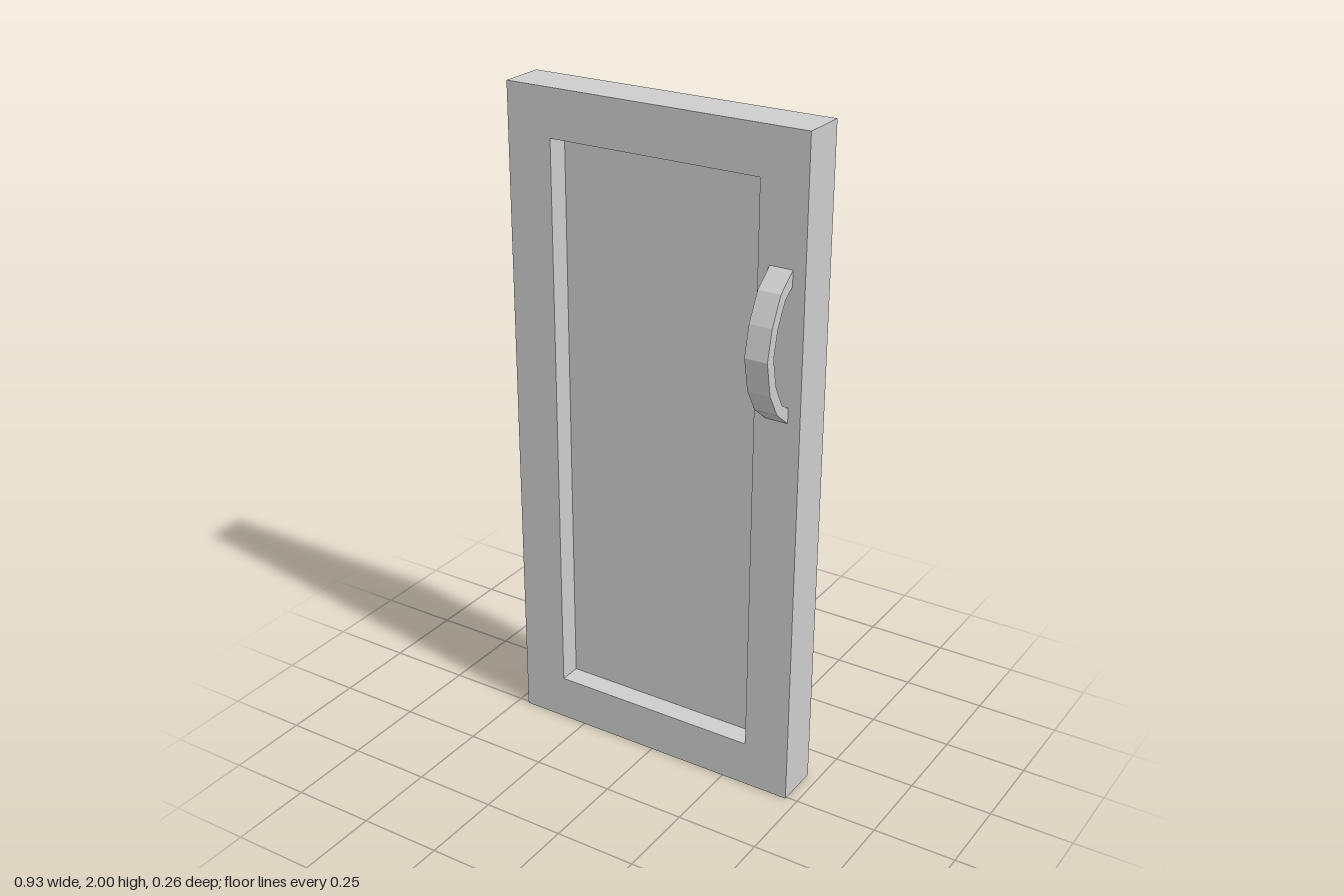
import * as THREE from 'three';

export function createModel() {
  const model = new THREE.Group();
  model.name = 'cabinetDoor';
  const grey = new THREE.MeshStandardMaterial({ color: 0xcccccc, side: THREE.DoubleSide, flatShading: true });
  grey.name = 'plain grey';

  const add = (name, geometry) => {
    const mesh = new THREE.Mesh(geometry, grey);
    mesh.name = name;
    model.add(mesh);
    return mesh;
  };
  const polygon = (points) => points.map(([x, y]) => new THREE.Vector2(x, y));
  const rectangle = (x, y0, y1) => polygon([[-x, y0], [x, y0], [x, y1], [-x, y1]]);

  // Square-edged frame around a rectangular opening
  const back = -0.131, front = 0.007;
  const frameShape = new THREE.Shape(rectangle(0.465, 0, 2));
  frameShape.holes.push(new THREE.Path(rectangle(0.325, 0.14, 1.86)));
  const frame = add('frame', new THREE.ExtrudeGeometry(frameShape, { depth: front - back, bevelEnabled: false }));
  frame.position.z = back;

  // Thin panel, recessed equally on both faces
  const panel = add('panel', new THREE.BoxGeometry(0.65, 1.72, 0.004));
  panel.position.set(0, 1, (front + back) / 2);

  // Faceted bow handle: outer and inner arcs in (z, y), swept across x
  const outer = [[0, 1.638], [0.067, 1.585], [0.108, 1.505], [0.128, 1.417], [0.108, 1.317], [0.067, 1.248], [0, 1.196]];
  const inner = [[0, 1.242], [0.042, 1.267], [0.078, 1.333], [0.095, 1.417], [0.078, 1.492], [0.042, 1.562], [0, 1.592]];
  const handleShape = new THREE.Shape(polygon([...outer, ...inner]));
  const handle = add('handle', new THREE.ExtrudeGeometry(handleShape, { depth: 0.068, bevelEnabled: false }));
  handle.rotation.y = -Math.PI / 2;
  handle.position.x = 0.428;

  return model;
}
